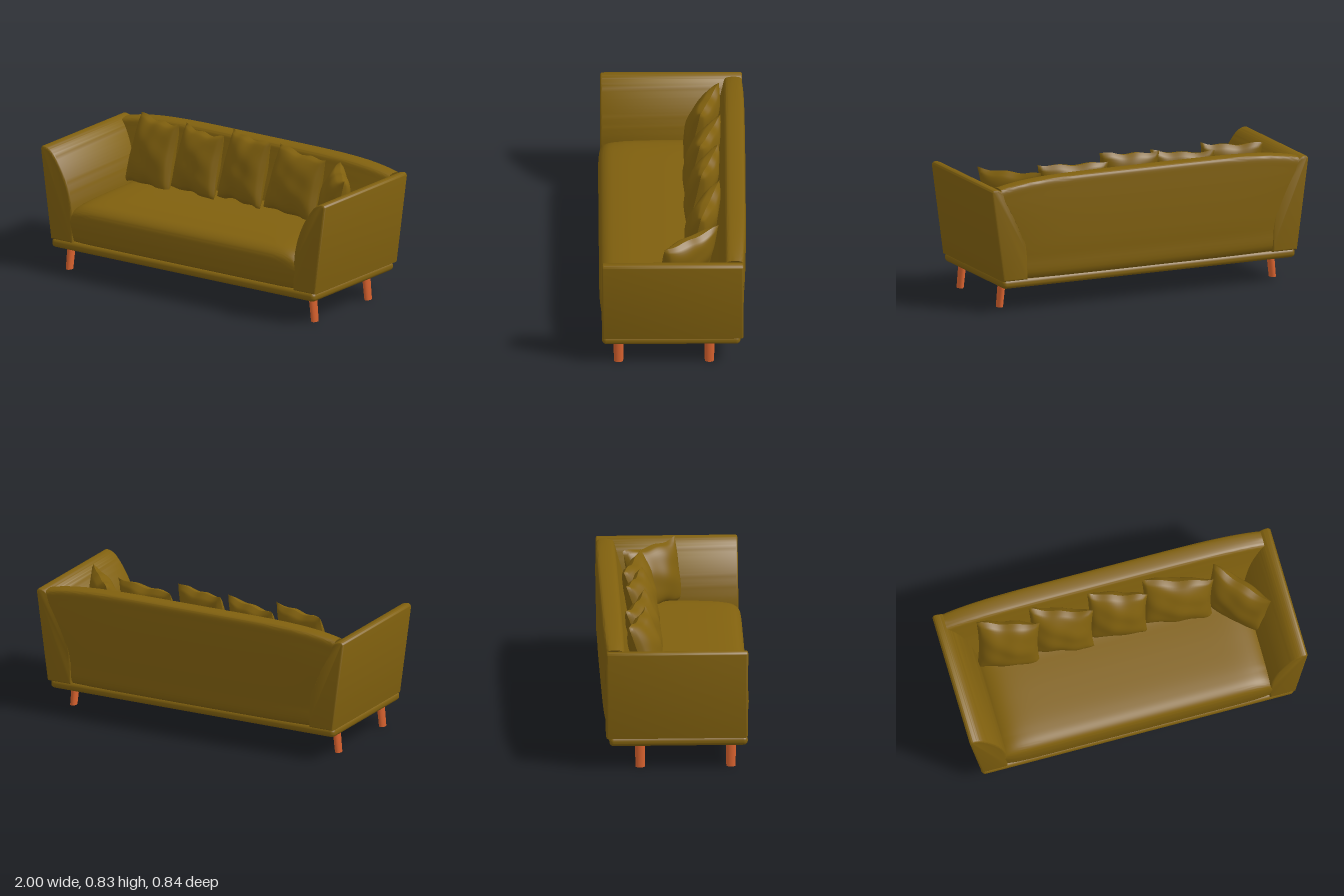
import * as THREE from 'three';
import { toCreasedNormals, mergeGeometries } from 'three/addons/utils/BufferGeometryUtils.js';
import { RoundedBoxGeometry } from 'three/addons/geometries/RoundedBoxGeometry.js';

const fabric = new THREE.MeshStandardMaterial({ color: 0x80600e });
fabric.name = 'olive fabric';
const wood = new THREE.MeshStandardMaterial({ color: 0xd9622e });
wood.name = 'orange wood';

function part(name, geometry, material = fabric) {
  const mesh = new THREE.Mesh(geometry, material);
  mesh.name = name;
  return mesh;
}

// Sweep a closed (z, y) profile along x; place(u, z, y) gives the final point, u = -1..1
function loft(profile, place, steps = 40, count = 72) {
  const curve = new THREE.CatmullRomCurve3(profile.map(([z, y]) => new THREE.Vector3(0, y, z)), true);
  const ring = curve.getPoints(count).slice(0, count);
  const pos = [], index = [];
  for (let i = 0; i <= steps; i++) {
    const u = Math.sin((i / steps - 0.5) * Math.PI);
    for (const p of ring) pos.push(...place(u, p.z, p.y));
  }
  for (let i = 0; i < steps; i++) {
    for (let j = 0; j < count; j++) {
      const k = (j + 1) % count;
      const a = i * count + j, b = i * count + k;
      index.push(a, a + count, b, b, a + count, b + count);
    }
  }
  // End caps
  for (const end of [0, steps]) {
    const mid = new THREE.Vector3();
    for (const p of ring) mid.add(p);
    mid.divideScalar(count);
    const c = pos.length / 3;
    pos.push(...place(end ? 1 : -1, mid.z, mid.y));
    for (let j = 0; j < count; j++) {
      const a = end * count + j, b = end * count + (j + 1) % count;
      index.push(c, end ? b : a, end ? a : b);
    }
  }
  const g = new THREE.BufferGeometry();
  g.setAttribute('position', new THREE.Float32BufferAttribute(pos, 3));
  g.setIndex(index);
  return toCreasedNormals(g, 0.7);
}

// Flared arm: front outline pushed through the depth with a soft bevel
function armGeometry(side) {
  const b = 0.012;
  const s = new THREE.Shape();
  const X = (x) => side * x;
  s.moveTo(X(0.775 + b), 0.19 + b);
  s.lineTo(X(0.93 - b), 0.19 + b);
  s.lineTo(X(1 - b), 0.715);
  s.quadraticCurveTo(X(0.998 - b), 0.724, X(0.975), 0.722);
  s.quadraticCurveTo(X(0.945), 0.718, X(0.92), 0.688);
  s.bezierCurveTo(X(0.865), 0.62, X(0.82), 0.53, X(0.802), 0.44);
  s.quadraticCurveTo(X(0.787), 0.38, X(0.775 + b), 0.19 + b);
  const g = new THREE.ExtrudeGeometry(s, {
    depth: 0.808 - 2 * b, bevelThickness: b, bevelSize: b, bevelSegments: 4, curveSegments: 14,
  });
  g.translate(0, 0, -0.403 + b);
  return toCreasedNormals(g, 0.7);
}

// Puffed cushion with pointed corners and light creases
function pillowGeometry(w, h, seed) {
  const halves = [1, -1].map((face) => {
    const g = new THREE.PlaneGeometry(2, 2, 28, 28);
    const p = g.attributes.position;
    for (let i = 0; i < p.count; i++) {
      const s = p.getX(i) * face, t = p.getY(i);
      const puff = Math.pow(Math.max(0, (1 - s * s) * (1 - t * t)), 0.48);
      const crease = 1 + 0.07 * Math.sin(5 * s + 3 * t + seed) * Math.cos(4 * t - 2 * s + 2 * seed);
      const wave = 0.006 * Math.sin(7 * s + seed) * t * t;
      p.setXYZ(i,
        s * w / 2 * (1 - 0.07 * (1 - t * t)),
        t * h / 2 * (1 - 0.08 * (1 - s * s)) + wave,
        face * 0.082 * puff * crease + 0.012 * s * t);
    }
    // Reversed in x, so the rear half faces outward
    g.computeVertexNormals();
    return g;
  });
  return mergeGeometries(halves);
}

export function createModel() {
  const sofa = new THREE.Group();
  sofa.name = 'sofa';

  // Plinth under the whole seat
  const base = part('base', new RoundedBoxGeometry(1.85, 0.055, 0.79, 5, 0.025));
  base.position.set(-0.003, 0.168, 0.01);
  sofa.add(base);

  for (const side of [-1, 1]) {
    sofa.add(part(side > 0 ? 'leftArm' : 'rightArm', armGeometry(side)));
    // Legs splayed outward, deeper than wide
    for (const z of [0.31, -0.208]) {
      const g = new THREE.CylinderGeometry(0.021, 0.019, 0.155, 20);
      g.scale(1, 1, 1.4);
      const p = g.attributes.position;
      for (let i = 0; i < p.count; i++) p.setX(i, p.getX(i) - side * 0.1 * p.getY(i));
      const leg = part(z > 0 ? 'frontLeg' : 'backLeg', g, wood);
      leg.position.set(side * 0.855, 0.0775, z);
      sofa.add(leg);
    }
  }

  // Backrest: widens with the arm curve, crowned along the top
  const back = [
    [-0.392, 0.195], [-0.2, 0.195], [-0.2, 0.42], [-0.225, 0.51], [-0.262, 0.62], [-0.29, 0.72],
    [-0.304, 0.763], [-0.322, 0.774], [-0.4, 0.774], [-0.412, 0.764], [-0.417, 0.7],
    [-0.418, 0.5], [-0.411, 0.32],
  ];
  sofa.add(part('backrest', loft(back, (u, z, y) => {
    const rise = THREE.MathUtils.clamp((y - 0.38) / 0.36, 0, 1);
    const x = u * (0.795 + 0.145 * Math.pow(rise, 1.3));
    const drop = Math.pow(Math.abs(u), 5);
    return [x, y - 0.045 * drop * rise, z + (z < -0.35 ? 0.014 * drop : 0)];
  })));

  // Seat cushion: bulging front, softly falling ends
  const seat = [
    [-0.28, 0.2], [0.39, 0.195], [0.406, 0.22], [0.415, 0.27], [0.419, 0.33], [0.409, 0.385],
    [0.375, 0.415], [0.3, 0.432], [0.1, 0.444], [-0.1, 0.446], [-0.28, 0.44],
  ];
  sofa.add(part('seatCushion', loft(seat, (u, z, y) => {
    const end = Math.pow(Math.abs(u), 14);
    return [u * 0.79, y - (y > 0.3 ? 0.045 * end * (y - 0.3) / 0.14 : 0), z - (z > 0.3 ? 0.014 * end : 0)];
  })));

  // Loose pillows: x, y, z, width, height, yaw, lean, roll
  [
    [-0.615, 0.615, -0.165, 0.36, 0.41, -0.24, -0.26, 0],
    [-0.3, 0.615, -0.165, 0.37, 0.38, -0.27, -0.28, 0.02],
    [0.03, 0.633, -0.165, 0.345, 0.4, -0.22, -0.26, -0.01],
    [0.385, 0.612, -0.165, 0.41, 0.385, -0.2, -0.28, -0.03],
    [0.715, 0.587, -0.08, 0.4, 0.37, -0.82, -0.25, -0.03],
  ].forEach(([x, y, z, w, h, yaw, lean, roll], i) => {
    const pillow = part('pillow' + (i + 1), pillowGeometry(w, h, i * 1.7));
    pillow.position.set(x, y, z);
    pillow.rotation.set(lean, yaw, roll, 'YXZ');
    sofa.add(pillow);
  });

  return sofa;
}
